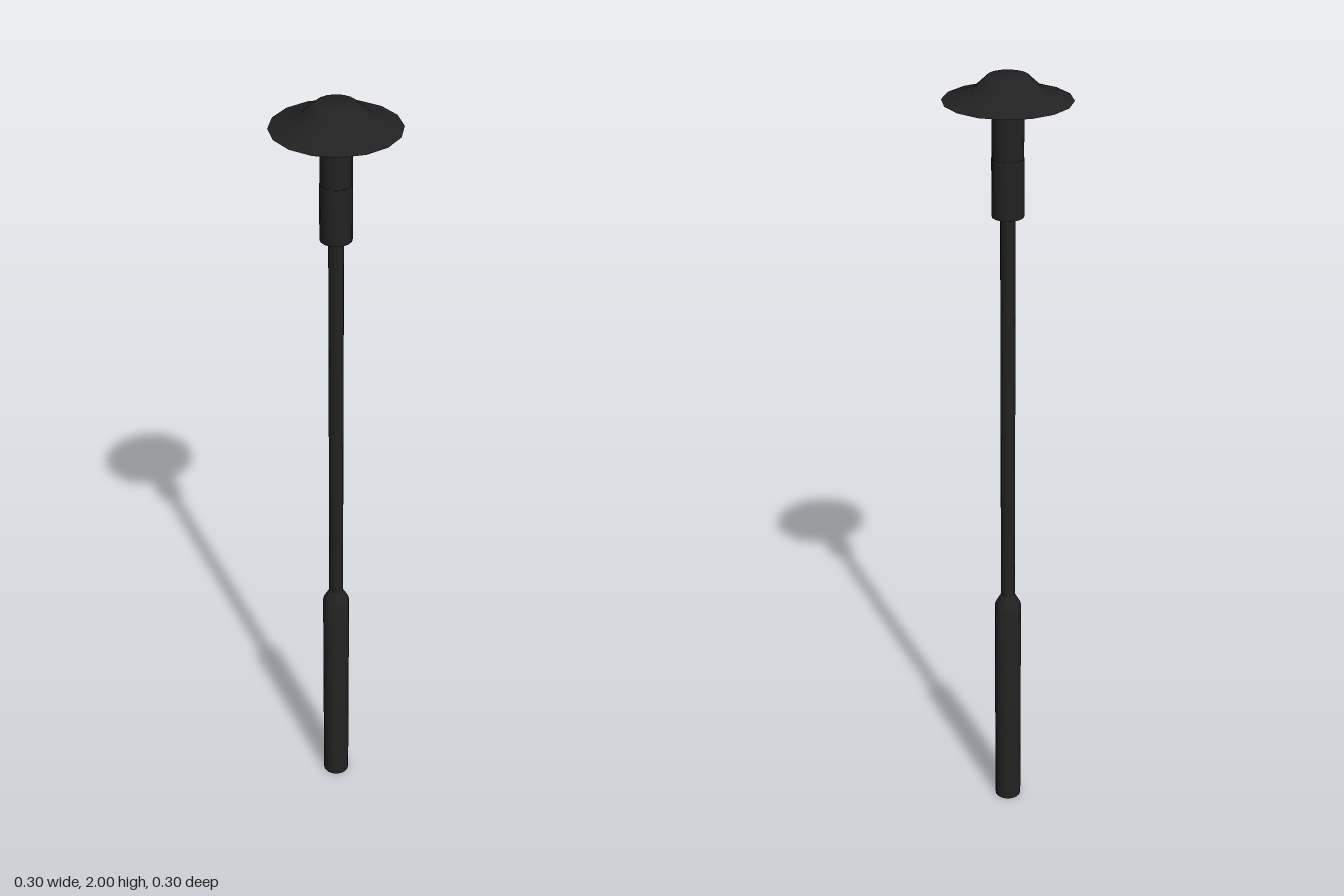
import * as THREE from 'three';
import { toCreasedNormals } from 'three/addons/utils/BufferGeometryUtils.js';

const SIDES = 16;

export function createModel() {
  const lamp = new THREE.Group();
  lamp.name = 'streetLamp';

  const metal = new THREE.MeshStandardMaterial({ color: 0x222222 });
  const thinMetal = metal.clone();
  thinMetal.side = THREE.DoubleSide;

  // Turned part from [radius, height] pairs, listed bottom to top
  function turned(name, profile, material = metal, crease = 0.6) {
    const points = profile.map(([r, y]) => new THREE.Vector2(r, y));
    const geometry = toCreasedNormals(new THREE.LatheGeometry(points, SIDES), crease);
    const mesh = new THREE.Mesh(geometry, material);
    mesh.name = name;
    lamp.add(mesh);
  }

  // Thick lower post with a tapered shoulder
  turned('basePost', [[0, 0], [0.034, 0], [0.034, 0.61], [0.018, 0.64], [0, 0.64]]);

  // Slim pole
  turned('pole', [[0.018, 0.63], [0.018, 1.68]]);

  // Lamp head: lower housing and upper light tube
  turned('headHousing', [[0, 1.67], [0.038, 1.67], [0.038, 1.81], [0, 1.81]]);
  turned('lightTube', [[0.037, 1.81], [0.037, 1.975], [0, 1.975]]);

  // Thin flared shade, open underneath, with a flat cap
  turned('shade', [[0.15, 1.944], [0.085, 1.965], [0.063, 1.985], [0.047, 2], [0, 2]], thinMetal, 0.9);

  return lamp;
}
